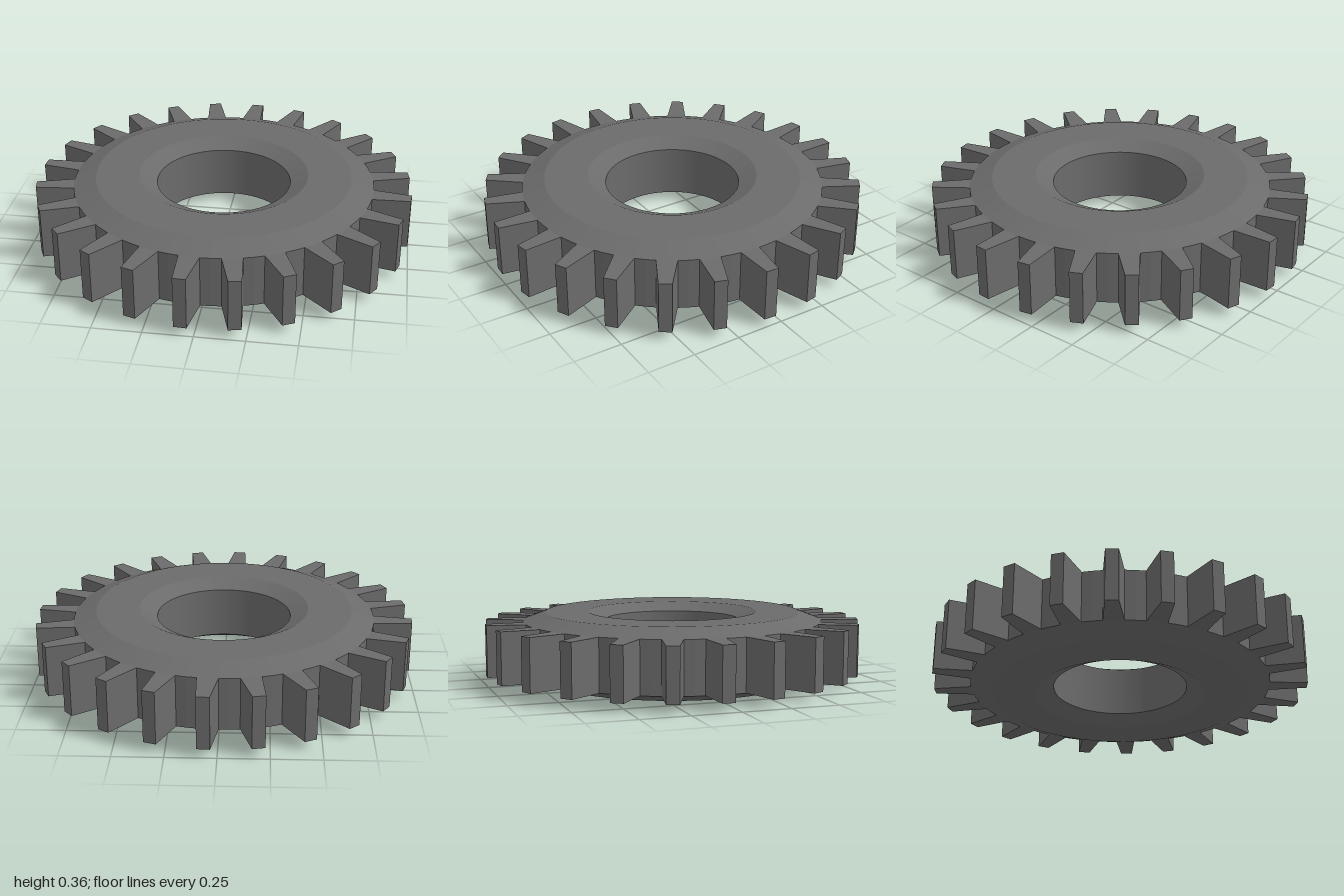
import * as THREE from 'three';

const TEETH = 24;
const PITCH = (Math.PI * 2) / TEETH;
const HEIGHT = 0.363, BEVEL = 0.045;
const HOLE_R = 0.356, HOLE_RIM_R = 0.45, FACE_R = 0.68, ROOT_R = 0.8, TIP_R = 1;

const steel = new THREE.MeshStandardMaterial({ color: 0x6b6b6b, flatShading: true });
steel.name = 'dark grey steel';

// Ring-shaped body: bevelled on the outer rim and around the hole
function createBody() {
  const top = HEIGHT - BEVEL;
  const profile = [
    [HOLE_RIM_R, 0], [FACE_R, 0], [ROOT_R, BEVEL], [ROOT_R, top],
    [FACE_R, HEIGHT], [HOLE_RIM_R, HEIGHT], [HOLE_R, top], [HOLE_R, BEVEL], [HOLE_RIM_R, 0],
  ].map(([r, y]) => new THREE.Vector2(r, y));
  const body = new THREE.Mesh(new THREE.LatheGeometry(profile, TEETH * 4), steel);
  body.name = 'gearBody';
  return body;
}

// One tapered tooth pointing along +x, its root following the rim
function createToothGeometry() {
  const polar = (r, a) => new THREE.Vector2(r * Math.cos(a), r * Math.sin(a));
  const root = PITCH / 4, tip = PITCH / 8;
  const shape = new THREE.Shape([
    polar(ROOT_R, -root), polar(TIP_R, -tip), polar(TIP_R, tip), polar(ROOT_R, root), polar(ROOT_R, 0),
  ]);
  return new THREE.ExtrudeGeometry(shape, { depth: HEIGHT - 2 * BEVEL, bevelEnabled: false })
    .rotateX(-Math.PI / 2)
    .translate(0, BEVEL, 0);
}

export function createModel() {
  const gear = new THREE.Group();
  gear.name = 'gear';
  gear.add(createBody());

  // Ring of teeth, turned a quarter pitch off the axes
  const teeth = new THREE.Group();
  teeth.name = 'teeth';
  const geometry = createToothGeometry();
  for (let i = 0; i < TEETH; i++) {
    const tooth = new THREE.Mesh(geometry, steel);
    tooth.name = `tooth${i + 1}`;
    tooth.rotation.y = -(i + 0.25) * PITCH;
    teeth.add(tooth);
  }
  gear.add(teeth);
  return gear;
}
